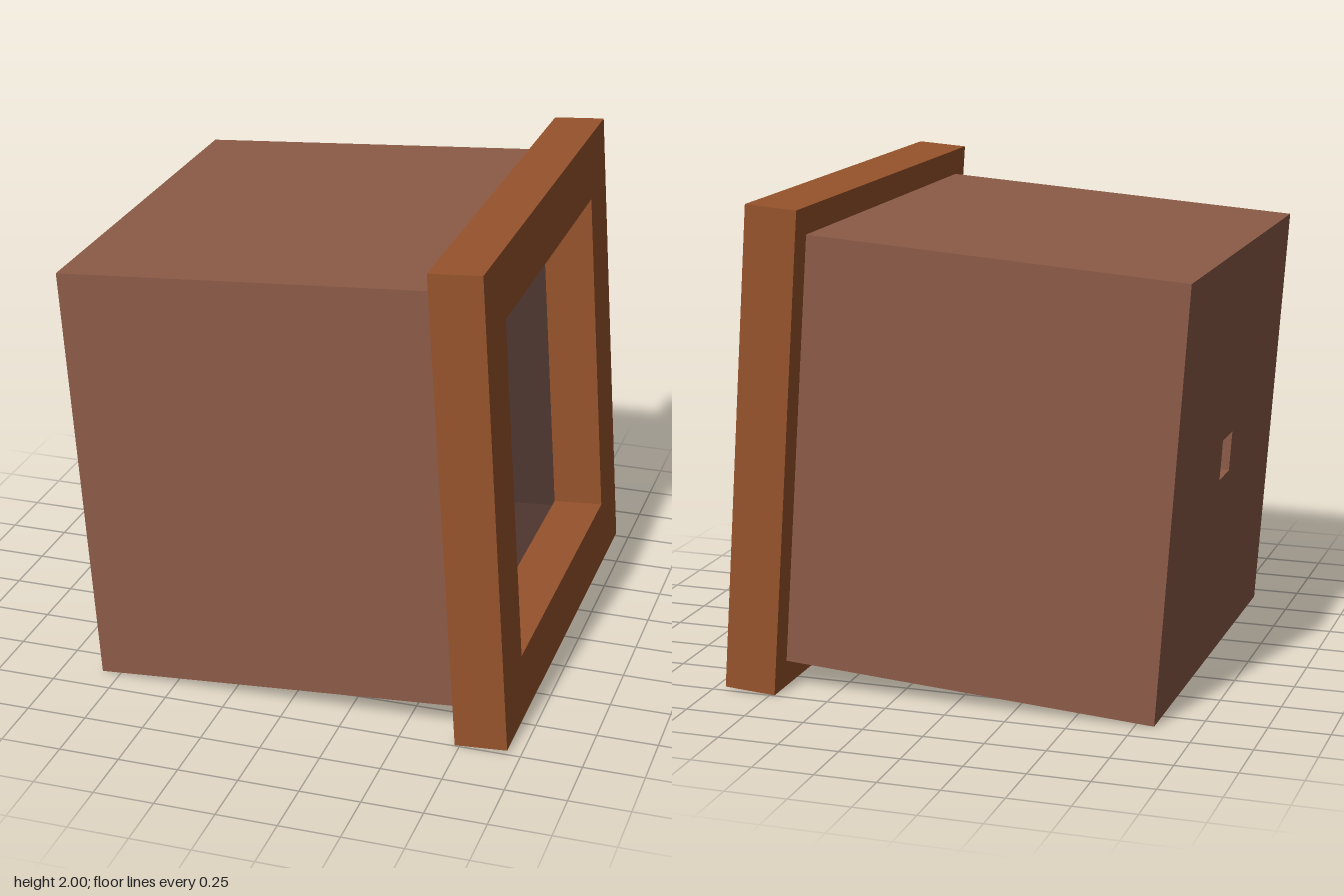
import * as THREE from 'three';

const bodyMat = new THREE.MeshStandardMaterial({ color: 0x8c5b47 });
bodyMat.name = 'body brown';
const frameMat = new THREE.MeshStandardMaterial({ color: 0x97532c });
frameMat.name = 'frame sienna';
const liningMat = new THREE.MeshStandardMaterial({ color: 0x4e362f });
liningMat.name = 'dark lining';

// Square path of a given half width
function square(path, h) {
  path.moveTo(-h, -h);
  path.lineTo(h, -h);
  path.lineTo(h, h);
  path.lineTo(-h, h);
  path.closePath();
  return path;
}

// Square ring running along x from x0 to x1
function ring(name, outer, inner, x0, x1, material) {
  const shape = square(new THREE.Shape(), outer);
  shape.holes.push(square(new THREE.Path(), inner));
  const geo = new THREE.ExtrudeGeometry(shape, { depth: x1 - x0, bevelEnabled: false });
  geo.rotateY(Math.PI / 2);
  geo.translate(x0, 0, 0);
  const mesh = new THREE.Mesh(geo, material);
  mesh.name = name;
  return mesh;
}

export function createModel() {
  const model = new THREE.Group();
  model.name = 'hollowBox';

  const back = -1.66, rim = -0.1075, wall = 0.117, skin = 0.004;
  const half = 0.883, hole = 0.084, inner = half - wall;

  const box = new THREE.Group();
  box.name = 'tiltedBox';
  box.add(
    // front frame, overlapping the box inside and out
    ring('frontFrame', 0.995, 0.72, rim, -rim, frameMat),
    // side walls and pierced back wall
    ring('sideWalls', half, inner, back + wall, rim, bodyMat),
    ring('backWall', half, hole, back, back + wall, bodyMat),
    // thin dark lining of the cavity
    ring('sideLining', inner, inner - skin, back + wall, rim, liningMat),
    ring('backLining', inner - skin, hole, back + wall, back + wall + skin, liningMat),
  );

  // the whole box leans back by four degrees
  box.rotation.z = THREE.MathUtils.degToRad(4);
  box.position.set(0.768, 1, 0);
  model.add(box);
  return model;
}
